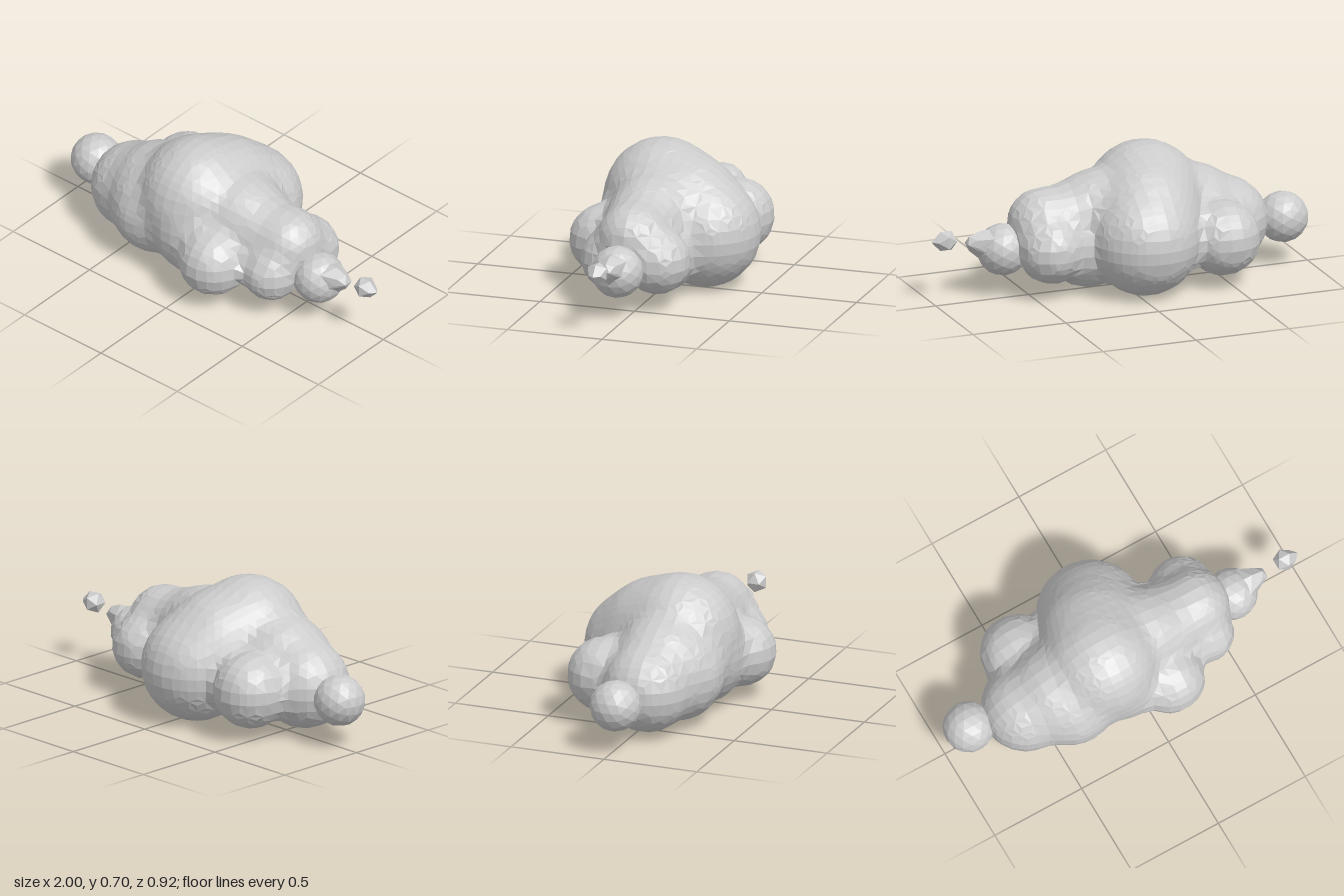
import * as THREE from 'three';
import { ConvexGeometry } from 'three/addons/geometries/ConvexGeometry.js';

const material = new THREE.MeshStandardMaterial({ color: 0xcccccc, flatShading: true });

// Puffs that melt together into the body: [x, y, z, radius]
const PUFFS = [
  // crown leaning down to the back
  [-0.15, 0.415, 0.075, 0.292], [-0.1, 0.375, -0.07, 0.28], [-0.05, 0.28, -0.185, 0.28],
  // broad front
  [-0.13, 0.31, 0.1, 0.265], [-0.36, 0.27, 0.13, 0.243], [-0.06, 0.26, 0.13, 0.24],
  // left side
  [-0.57, 0.25, 0.06, 0.225], [-0.4, 0.325, 0.07, 0.238], [-0.46, 0.25, -0.21, 0.19],
  // front puff and right shoulder
  [0.13, 0.245, 0.285, 0.178], [0.12, 0.375, 0.04, 0.222], [0.2, 0.21, -0.02, 0.19],
  // right cluster: upper, back and front lobes
  [0.41, 0.355, 0.04, 0.178], [0.26, 0.345, 0.05, 0.195],
  [0.415, 0.25, -0.09, 0.168], [0.4, 0.24, 0.16, 0.152],
];
const BLEND = 0.05;

// Distance to the puffs with softened valleys between them
function bodyDistance(p) {
  return PUFFS.reduce((d, [x, y, z, r]) => {
    const e = Math.hypot(p.x - x, p.y - y, p.z - z) - r;
    const h = Math.max(BLEND - Math.abs(d - e), 0);
    return Math.min(d, e) - (h * h) / (4 * BLEND);
  }, 10);
}

// Skin of the melted puffs: one vertex per grid cell the surface crosses
function bodyGeometry() {
  const size = 0.06;
  const counts = [28, 16, 20];
  const axes = [new THREE.Vector3(1, 0, 0), new THREE.Vector3(0, 1, 0), new THREE.Vector3(0, 0, 1)];
  const id = (v) => (v.x * 100 + v.y) * 100 + v.z;
  const toWorld = (v) => v.clone().multiplyScalar(size).add(new THREE.Vector3(-0.95, -0.1, -0.6));

  // Sample the distance at every grid node
  const nodes = [];
  const values = new Map();
  for (let x = 0; x < counts[0]; x++)
    for (let y = 0; y < counts[1]; y++)
      for (let z = 0; z < counts[2]; z++) {
        const node = new THREE.Vector3(x, y, z);
        nodes.push(node);
        values.set(id(node), bodyDistance(toWorld(node)));
      }

  // Each crossed grid edge gives a quad between the four cells around it
  const cells = new Map();
  const quads = [];
  for (const node of nodes)
    axes.forEach((a, k) => {
      const f0 = values.get(id(node));
      const f1 = values.get(id(node.clone().add(a)));
      if (f1 === undefined || f0 < 0 === f1 < 0) return;
      const crossing = toWorld(node.clone().addScaledVector(a, f0 / (f0 - f1)));
      const b = axes[(k + 1) % 3];
      const c = axes[(k + 2) % 3];
      const corner = node.clone().sub(b).sub(c);
      const quad = [corner, node.clone().sub(c), node, node.clone().sub(b)].map(id);
      for (const key of quad) {
        if (!cells.has(key)) cells.set(key, { index: cells.size, sum: new THREE.Vector3(), n: 0 });
        const cell = cells.get(key);
        cell.sum.add(crossing);
        cell.n++;
      }
      quads.push(f0 < 0 ? quad : quad.reverse());
    });

  // Average the crossings in each cell, then settle the vertex on the surface
  const positions = [];
  for (const { sum, n } of cells.values()) {
    const p = sum.divideScalar(n);
    for (let step = 0; step < 3; step++) {
      const d = bodyDistance(p);
      const slope = axes.map((a) => (bodyDistance(p.clone().addScaledVector(a, 0.001)) - d) / 0.001);
      p.addScaledVector(new THREE.Vector3(...slope).normalize(), -d);
    }
    positions.push(p.x, p.y, p.z);
  }
  const geometry = new THREE.BufferGeometry();
  geometry.setAttribute('position', new THREE.Float32BufferAttribute(positions, 3));
  geometry.setIndex(quads.flatMap((quad) => {
    const [a, b, c, d] = quad.map((key) => cells.get(key).index);
    return [a, b, c, a, c, d];
  }));
  geometry.computeVertexNormals();
  return geometry;
}

// Taut skin around a few balls
function hullGeometry(balls) {
  const points = balls.flatMap(([x, y, z, r]) => {
    const p = new THREE.IcosahedronGeometry(r, 0).translate(x, y, z).attributes.position;
    return Array.from({ length: p.count }, (_, i) => new THREE.Vector3().fromBufferAttribute(p, i));
  });
  return new ConvexGeometry(points);
}

export function createModel() {
  const cloud = new THREE.Group();
  cloud.name = 'cloud';

  const add = (name, geometry) => {
    const mesh = new THREE.Mesh(geometry, material);
    mesh.name = name;
    cloud.add(mesh);
  };
  const ball = (x, y, z, r) => new THREE.IcosahedronGeometry(r, 2).translate(x, y, z);

  add('body', bodyGeometry());

  // Small puffs at both ends
  add('leftEndPuff', ball(-0.87, 0.245, 0.01, 0.13));
  add('rightEndPuff', ball(0.62, 0.24, 0.05, 0.132));

  // Stubby tip, and the wisp floating past it
  add('tip', hullGeometry([[0.69, 0.275, 0.05, 0.09], [0.775, 0.29, 0.05, 0.046]]));
  add('wisp', hullGeometry([[0.925, 0.32, 0.05, 0.058], [0.992, 0.32, 0.05, 0.008]]));

  return cloud;
}
